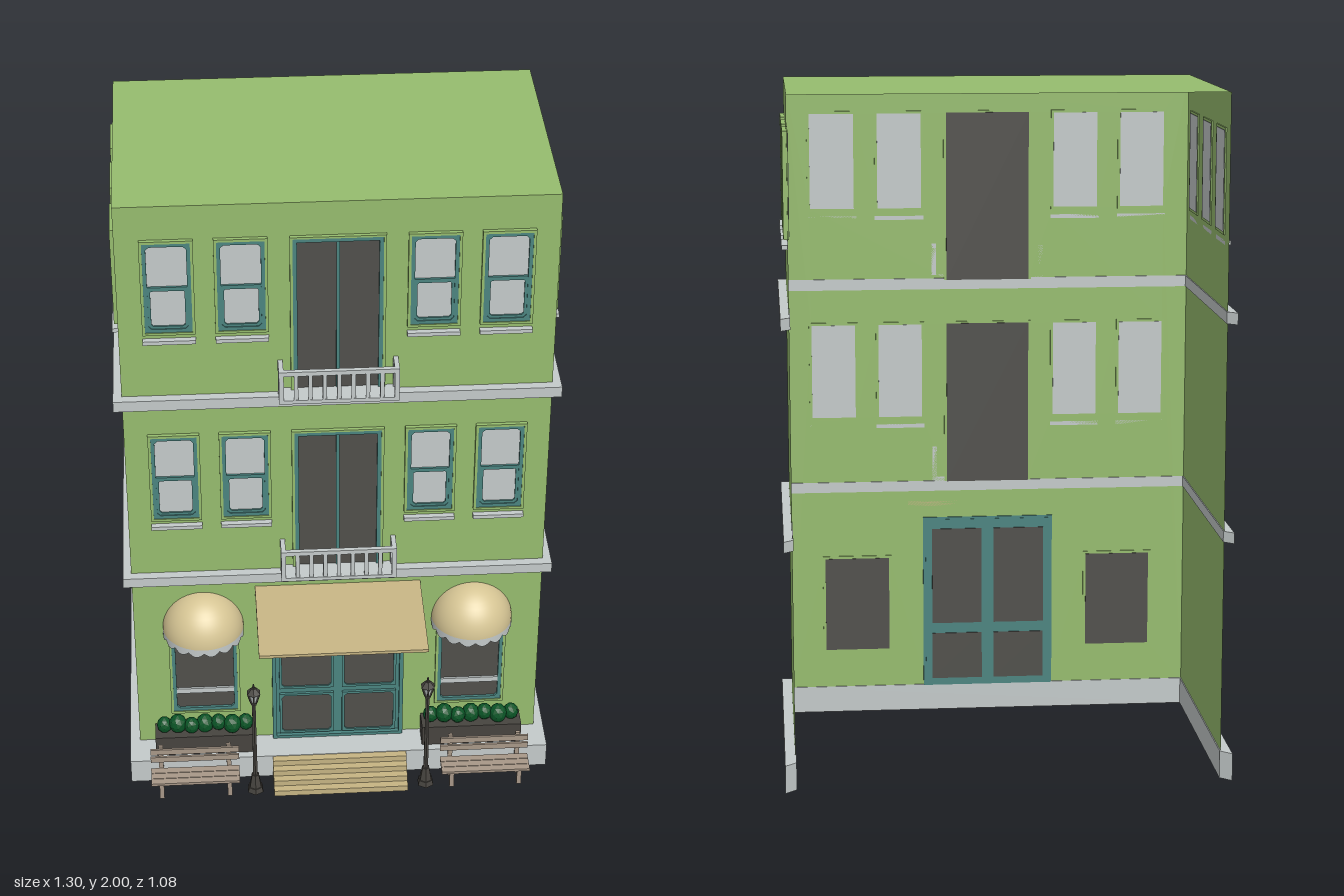
import * as THREE from 'three';

const mat = (name, color, side = THREE.FrontSide, flatShading = false) => {
  const m = new THREE.MeshStandardMaterial({ color, side, flatShading });
  m.name = name;
  return m;
};

export function createModel() {
  const root = new THREE.Group();
  root.name = 'townhouse';
  const green = mat('wall green', 0x96bc6e, THREE.DoubleSide);
  const grey = mat('stone grey', 0xc4caca, THREE.DoubleSide);
  const teal = mat('frame teal', 0x4b8480);
  const dark = mat('dark glass', 0x504f4b);
  const tan = mat('canopy tan', 0xc6b483, THREE.DoubleSide);
  const cream = mat('awning cream', 0xd6c594, THREE.DoubleSide);
  const wood = mat('bench wood', 0xa89888);
  const leaf = mat('leaf green', 0x0a5426, THREE.FrontSide, true);
  const iron = mat('iron', 0x47443f, THREE.FrontSide, true);

  const W = 0.62, ZF = 0.24, ZB = -0.51;
  const add = (parent, name, geo, m, x = 0, y = 0, z = 0) => {
    const mesh = new THREE.Mesh(geo, m);
    mesh.name = name;
    mesh.position.set(x, y, z);
    parent.add(mesh);
    return mesh;
  };
  const group = (parent, name, x = 0, y = 0, z = 0) => {
    const g = new THREE.Group();
    g.name = name;
    g.position.set(x, y, z);
    parent.add(g);
    return g;
  };
  // box given by its lower and upper limits
  const box = (parent, name, m, x0, x1, y0, y1, z0, z1) =>
    add(parent, name, new THREE.BoxGeometry(x1 - x0, y1 - y0, z1 - z0), m, (x0 + x1) / 2, (y0 + y1) / 2, (z0 + z1) / 2);
  // rectangle outline with corners cut by c
  const outline = (x0, x1, y0, y1, c = 0) => {
    const p = c ? [[x0 + c, y0], [x1 - c, y0], [x1, y0 + c], [x1, y1 - c], [x1 - c, y1], [x0 + c, y1], [x0, y1 - c], [x0, y0 + c]]
      : [[x0, y0], [x1, y0], [x1, y1], [x0, y1]];
    return p.map(([x, y]) => new THREE.Vector2(x, y));
  };
  // flat ring of border t, between depths z0 and z1
  const ring = (parent, name, m, x0, x1, y0, y1, t, z0, z1, c = 0) => {
    const s = new THREE.Shape(outline(x0, x1, y0, y1));
    s.holes.push(new THREE.Path(outline(x0 + t, x1 - t, y0 + t, y1 - t, c)));
    return add(parent, name, new THREE.ExtrudeGeometry(s, { depth: z1 - z0, bevelEnabled: false }), m, 0, 0, z0);
  };

  // window centred on x, its foot at y = 0, facing +z
  const makeWindow = (parent, x, y, w, h, glass, ground) => {
    const g = group(parent, 'window', x, y, 0), a = w / 2;
    box(g, 'pane', glass, -a + 0.008, a - 0.008, 0.008, h - 0.008, -0.005, 0.001);
    ring(g, 'trim', green, -a, a, 0, h, 0.008, -0.004, 0.012);
    ring(g, 'frame', teal, -a + 0.008, a - 0.008, 0.008, h - 0.008, 0.011, -0.004, 0.009, 0.009);
    if (ground) {
      box(g, 'curtainRail', grey, -a + 0.019, a - 0.019, 0.077, 0.095, 0, 0.008);
    } else {
      ring(g, 'lowerSash', teal, -a + 0.019, a - 0.019, 0.019, h * 0.5, 0.008, 0, 0.006, 0.006);
      box(g, 'meetingRail', teal, -a + 0.015, a - 0.015, h * 0.47, h * 0.51, 0, 0.008);
      box(g, 'sill', grey, -a, a, -0.028, -0.016, 0, 0.018);
    }
  };
  const makeBalconyDoor = (parent, y, h) => {
    const g = group(parent, 'balconyDoor', 0, y, 0);
    box(g, 'doorPane', dark, -0.127, 0.127, 0, h - 0.006, -0.005, 0.001);
    for (const s of [-1, 1]) {
      box(g, 'doorJamb', teal, s * 0.121 - 0.006, s * 0.121 + 0.006, 0, h - 0.006, -0.003, 0.01);
      box(g, 'doorTrim', green, s * 0.131 - 0.004, s * 0.131 + 0.004, 0, h, -0.003, 0.012);
    }
    box(g, 'doorHead', teal, -0.127, 0.127, h - 0.018, h - 0.006, -0.003, 0.01);
    box(g, 'doorHeadTrim', green, -0.135, 0.135, h - 0.006, h, -0.003, 0.012);
    box(g, 'meetingStile', teal, -0.005, 0.005, 0, h - 0.01, 0, 0.006);
  };
  // thin wall with openings [x0, x1, y0, y1]
  const makeWall = (parent, name, x0, x1, holes) => {
    const s = new THREE.Shape(outline(x0, x1, 0.07, 2));
    for (const h of holes) s.holes.push(new THREE.Path(outline(...h)));
    add(parent, name, new THREE.ShapeGeometry(s), green);
  };

  // front wall with its windows and balcony doors
  const front = group(root, 'front', 0, 0, ZF), holes = [];
  const winW = 0.15, winH = 0.305;
  for (const y of [0.94, 1.59]) for (const x of [-0.477, -0.271, 0.271, 0.477]) {
    makeWindow(front, x, y, winW, winH, grey, false);
    holes.push([x - 0.068, x + 0.068, y + 0.007, y + winH - 0.007]);
  }
  for (const x of [-0.41, 0.41]) {
    makeWindow(front, x, 0.195, 0.215, 0.31, dark, true);
    holes.push([x - 0.1, x + 0.1, 0.202, 0.498]);
  }
  for (const [y, top] of [[0.74, 1.245], [1.375, 1.895]]) {
    makeBalconyDoor(front, y, top - y);
    holes.push([-0.126, 0.126, y + 0.002, top - 0.007]);
  }
  holes.push([-0.195, 0.195, 0.085, 0.62]);
  makeWall(front, 'frontWall', -W, W, holes);

  // side walls, windows on the top floor only
  for (const s of [-1, 1]) {
    const side = group(root, s > 0 ? 'leftSide' : 'rightSide', s * W, 0, 0);
    side.rotation.y = s * Math.PI / 2;
    const cut = [];
    for (const z of [0.107, -0.133, -0.365]) {
      const x = -s * z;
      makeWindow(side, x, 1.59, winW, winH, grey, false);
      cut.push([x - 0.068, x + 0.068, 1.597, 1.888]);
    }
    const e = [-s * ZF, -s * ZB].sort((a, b) => a - b);
    makeWall(side, 'sideWall', e[0], e[1], cut);
  }
  const roof = add(root, 'roof', new THREE.PlaneGeometry(2 * W, ZF - ZB), green, 0, 2, (ZF + ZB) / 2);
  roof.rotation.x = -Math.PI / 2;

  // bands round three sides with mitred back ends
  const makeBand = (name, y0, y1, out, zFront) => {
    const i = 0.003, X = W + out, Z = ZB - out;
    const pts = [[-X, Z], [-X, zFront], [X, zFront], [X, Z], [W - i, ZB], [W - i, ZF - i], [-W + i, ZF - i], [-W + i, ZB]];
    const shape = new THREE.Shape(pts.map(([x, z]) => new THREE.Vector2(x, -z)));
    const geo = new THREE.ExtrudeGeometry(shape, { depth: y1 - y0, bevelEnabled: false });
    add(root, name, geo.rotateX(-Math.PI / 2), grey, 0, y0, 0);
  };
  makeBand('base', 0, 0.082, 0.03, 0.34);
  makeBand('lowerLedge', 0.71, 0.742, 0.025, 0.268);
  makeBand('upperLedge', 1.346, 1.38, 0.025, 0.268);

  // balconies
  for (const y of [0.742, 1.38]) {
    const b = group(root, 'balcony', 0, y, 0);
    box(b, 'balconyFloor', grey, -0.172, 0.172, 0, 0.012, ZF, 0.308);
    box(b, 'topRail', grey, -0.172, 0.172, 0.094, 0.108, 0.294, 0.308);
    for (const s of [-1, 1]) {
      box(b, 'sideRail', grey, s * 0.165 - 0.007, s * 0.165 + 0.007, 0.094, 0.108, ZF, 0.3);
      for (const z of [0.247, 0.301]) box(b, 'post', grey, s * 0.165 - 0.007, s * 0.165 + 0.007, 0.01, 0.1, z - 0.007, z + 0.007);
    }
    for (let i = -3; i <= 3; i++) box(b, 'baluster', grey, i * 0.041 - 0.006, i * 0.041 + 0.006, 0.01, 0.1, 0.296, 0.306);
  }

  // entrance double door
  const door = group(root, 'entrance', 0, 0, ZF);
  ring(door, 'entranceFrame', teal, -0.203, 0.203, 0.08, 0.625, 0.012, -0.004, 0.018);
  box(door, 'entranceLeaves', teal, -0.195, 0.195, 0.084, 0.618, -0.005, 0.004);
  for (const s of [-1, 1]) for (const [y0, y1] of [[0.103, 0.25], [0.283, 0.588]]) {
    const c = s * 0.097;
    box(door, 'entrancePanel', dark, c - 0.078, c + 0.078, y0, y1, -0.008, 0.007);
    ring(door, 'panelFrame', teal, c - 0.084, c + 0.084, y0 - 0.006, y1 + 0.006, 0.008, 0, 0.012, 0.008);
  }
  // wedge canopy
  const wedge = new THREE.Shape([[ZF, 0.645], [0.54, 0.64], [0.54, 0.65], [ZF, 0.676]].map(([z, y]) => new THREE.Vector2(-z, y)));
  add(root, 'canopy', new THREE.ExtrudeGeometry(wedge, { depth: 0.5, bevelEnabled: false }).rotateY(Math.PI / 2), tan, -0.25);
  // front steps
  for (let i = 0; i < 4; i++) box(root, 'step', tan, -0.208, 0.208, 0, 0.08 - i * 0.02, 0.335, 0.363 + i * 0.024);

  // scalloped skirt of an awning: half cylinder with a wavy lower edge
  const makeSkirt = (r) => {
    const n = 64, geo = new THREE.CylinderGeometry(r, r, 0.02, n, 1, true, -Math.PI / 2, Math.PI);
    const p = geo.attributes.position;
    for (let i = 0; i < p.count; i++) if (p.getY(i) < 0) {
      const a = Math.atan2(p.getX(i), p.getZ(i));
      p.setY(i, -0.004 - 0.014 * Math.abs(Math.sin(a * 8)));
    }
    return geo;
  };

  for (const s of [-1, 1]) {
    // dome awning over the ground floor window
    const awning = group(root, 'awning', s * 0.41, 0.53, ZF);
    add(awning, 'awningDome', new THREE.SphereGeometry(0.123, 32, 12, 0, Math.PI, 0, Math.PI / 2), cream).scale.y = 1.06;
    add(awning, 'awningSkirt', makeSkirt(0.123), grey, 0, -0.006, 0);

    // planter with shrubs
    const planter = group(root, 'planter', s * 0.415, 0, 0.281);
    box(planter, 'planterBox', iron, -0.155, 0.155, 0.08, 0.152, -0.035, 0.035);
    for (let i = 0; i < 7; i++) {
      const r = 0.024 + 0.004 * (i % 2);
      const bush = add(planter, 'shrub', new THREE.IcosahedronGeometry(r, 1), leaf, -0.126 + i * 0.042, 0.172 + 0.008 * ((i * 2) % 3) / 2, 0.006 * (i % 3 - 1));
      bush.scale.y = 1.15;
      bush.rotation.y = i;
    }

    // bench facing the street
    const bench = group(root, 'bench', s * 0.45, 0, 0);
    for (let i = 0; i < 3; i++) box(bench, 'seatSlat', wood, -0.137, 0.137, 0.057, 0.066, 0.357 + i * 0.025, 0.38 + i * 0.025);
    for (const y of [0.092, 0.122]) box(bench, 'backSlat', wood, -0.137, 0.137, y, y + 0.02, 0.353, 0.36);
    for (const x of [-0.105, 0.105]) {
      box(bench, 'backPost', wood, x - 0.007, x + 0.007, 0.055, 0.15, 0.345, 0.354);
      box(bench, 'seatBearer', wood, x - 0.007, x + 0.007, 0.046, 0.057, 0.36, 0.425);
      for (const z of [0.366, 0.418]) box(bench, 'benchLeg', wood, x - 0.007, x + 0.007, 0, 0.05, z - 0.006, z + 0.006);
    }

    // street lamp
    const lamp = group(root, 'streetLamp', s * 0.265, 0, 0.4);
    const turn = (name, m, r0, r1, y0, y1) => add(lamp, name, new THREE.CylinderGeometry(r1, r0, y1 - y0, 6), m, 0, (y0 + y1) / 2, 0);
    turn('lampFoot', iron, 0.027, 0.023, 0, 0.018);
    turn('lampPlinth', iron, 0.02, 0.012, 0.018, 0.065);
    turn('lampPole', iron, 0.008, 0.006, 0.065, 0.35);
    turn('lampCollar', iron, 0.008, 0.012, 0.345, 0.357);
    turn('lampGlass', grey, 0.009, 0.019, 0.357, 0.392);
    for (let i = 0; i < 6; i++) {
      const a = i * Math.PI / 3;
      const bar = add(lamp, 'lampBar', new THREE.BoxGeometry(0.005, 0.037, 0.005), iron, Math.sin(a) * 0.0145, 0.375, Math.cos(a) * 0.0145);
      bar.rotation.set(0.28, a, 0, 'YXZ');
    }
    turn('lampCap', iron, 0.023, 0.008, 0.392, 0.41);
    turn('lampFinial', iron, 0.005, 0.002, 0.41, 0.426);
  }
  return root;
}
